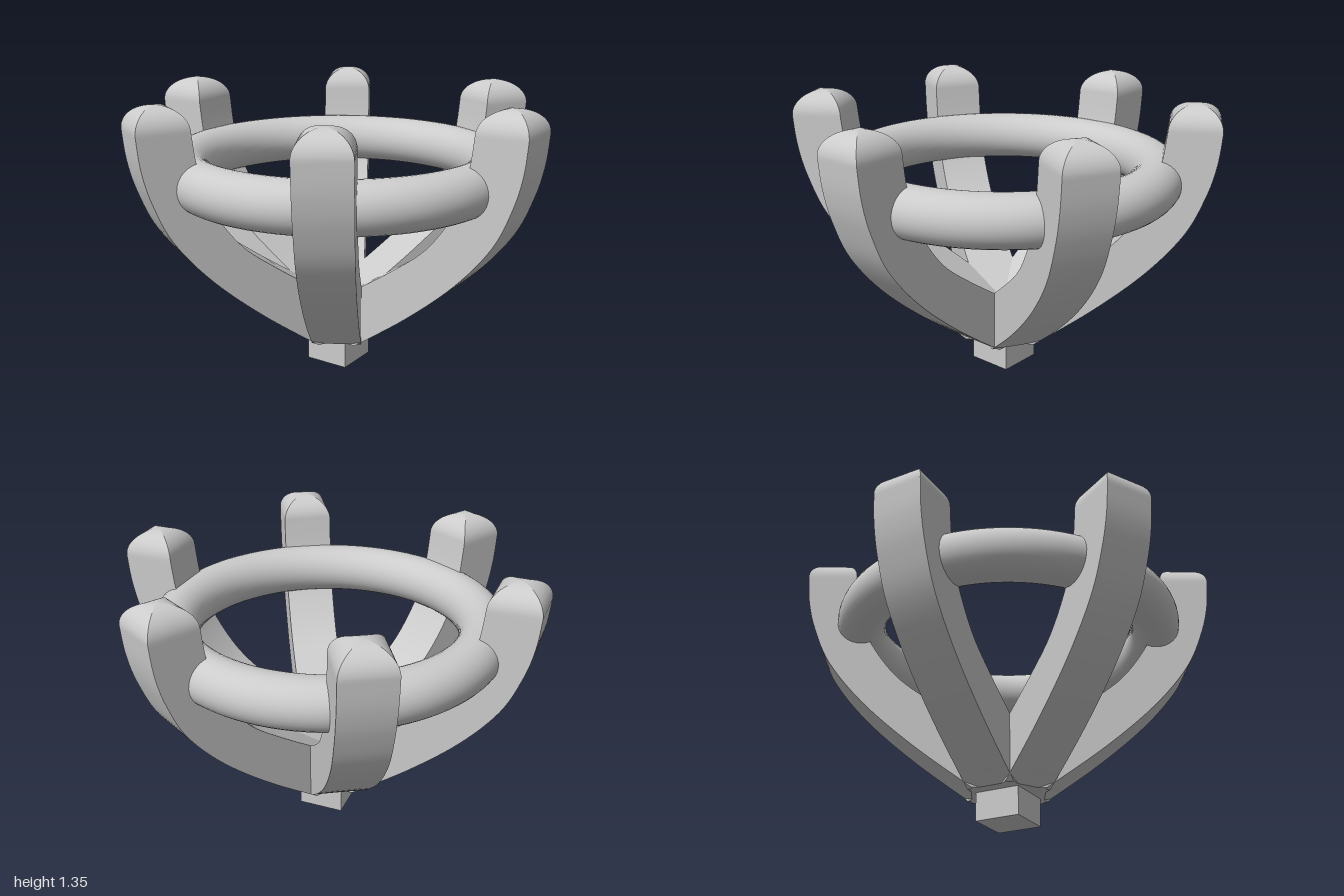
import * as THREE from 'three';

const HALF = 0.12; // half the width of a prong
const material = new THREE.MeshStandardMaterial({ color: 0xcccccc });
const spline = pts => new THREE.SplineCurve(pts.map(p => new THREE.Vector2(...p)));

// Skins four-sided sections { inner, outer, w }; each side has its own normals
// so the long edges stay sharp while the length stays smooth.
function loft(sections) {
  const positions = [], index = [];
  const corners = ({ inner, outer, w }) => [
    [inner.x, inner.y, -w], [inner.x, inner.y, w],
    [outer.x, outer.y, w], [outer.x, outer.y, -w],
  ];
  for (let side = 0; side < 4; side++) {
    const start = positions.length / 3;
    sections.forEach((section, i) => {
      const c = corners(section);
      positions.push(...c[side], ...c[(side + 1) % 4]);
      if (i === 0) return;
      const a = start + (i - 1) * 2;
      index.push(a, a + 1, a + 3, a, a + 3, a + 2);
    });
  }
  const geometry = new THREE.BufferGeometry();
  geometry.setAttribute('position', new THREE.Float32BufferAttribute(positions, 3));
  geometry.setIndex(index);
  geometry.computeVertexNormals();
  return geometry;
}

function add(parent, name, geometry) {
  const mesh = new THREE.Mesh(geometry, material);
  mesh.name = name;
  parent.add(mesh);
  return mesh;
}

export function createModel() {
  const model = new THREE.Group();
  model.name = 'prongSetting';

  // Inner and outer edges of one prong (radius, height)
  const inner = spline([[0.21, 0.45], [0.38, 0.565], [0.54, 0.69], [0.66, 0.85],
    [0.72, 0.99], [0.745, 1.11], [0.76, 1.235]]);
  const outer = spline([[0.17, 0.135], [0.45, 0.34], [0.69, 0.55], [0.86, 0.755],
    [0.945, 0.94], [0.985, 1.09], [1, 1.235]]);

  const sections = [];
  for (let i = 0; i <= 36; i++) {
    sections.push({ inner: inner.getPoint(i / 36), outer: outer.getPoint(i / 36), w: HALF });
  }
  // Rounded square cap closing to a point
  for (let i = 1; i <= 14; i++) {
    const a = (i / 14) * Math.PI / 2;
    const w = HALF * Math.cos(a), y = 1.235 + 0.11 * Math.sin(a);
    sections.push({ inner: new THREE.Vector2(0.88 - w, y), outer: new THREE.Vector2(0.88 + w, y), w });
  }
  const armGeometry = loft(sections);

  // Straight root joining the prong to the centre
  const rootGeometry = loft([
    { inner: new THREE.Vector2(0, 0.31), outer: new THREE.Vector2(0, 0.135), w: HALF },
    { inner: inner.getPoint(0), outer: outer.getPoint(0), w: HALF },
  ]);

  // Six prongs around the centre
  for (let i = 0; i < 6; i++) {
    const prong = new THREE.Group();
    prong.name = `prong${i + 1}`;
    add(prong, 'prongArm', armGeometry);
    add(prong, 'prongRoot', rootGeometry);
    prong.rotation.y = i * Math.PI / 3;
    model.add(prong);
  }

  // Ring held by the prongs
  const ring = add(model, 'ring', new THREE.TorusGeometry(0.727, 0.118, 32, 96));
  ring.rotation.x = Math.PI / 2;
  ring.position.y = 0.98;

  // Square stub at the bottom
  const base = add(model, 'baseStub', new THREE.BoxGeometry(0.22, 0.2, 0.22));
  base.position.y = 0.1;

  return model;
}
